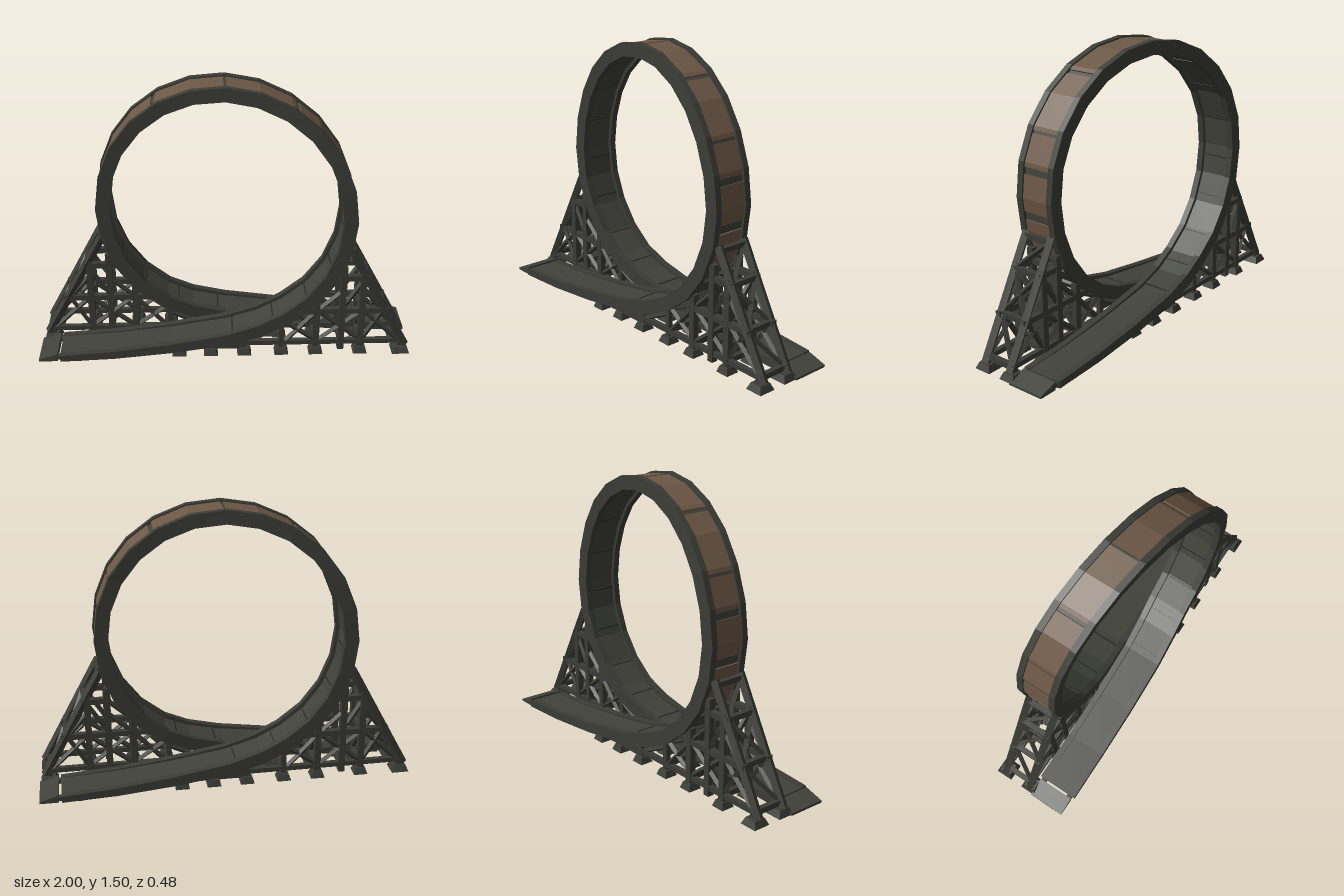
import * as THREE from 'three';

const mat = (name, color) => {
  const m = new THREE.MeshStandardMaterial({ color });
  m.name = name;
  return m;
};

// Centre line of half the track: ground lead-in, then loop from low side to crown
const path = [[-0.885, 0.035, 0.127], [-0.6, 0.052, 0.127], [-0.3, 0.085, 0.125], [0, 0.128, 0.117], [0.18, 0.173, 0.104]];
for (let a = 30; a <= 195; a += 15) {
  const t = THREE.MathUtils.degToRad(a);
  path.push([0.636 * Math.sin(t), 0.81 - 0.66 * Math.cos(t), a < 90 ? 0.094 : 0.094 * Math.min(1, 1.06 * Math.sin(t))]);
}
const TOP = 15;                              // station index of the crown
const atAngle = a => 5 + (a - 30) / 15;      // loop angle in degrees to station

// Point on the track: u across, v towards the inside of the loop
function stationPoint(i, u, v) {
  const p = path[i], a = path[Math.max(i - 1, 0)], b = path[i + 1];
  const dx = b[0] - a[0], dy = b[1] - a[1], l = Math.hypot(dx, dy);
  return new THREE.Vector3(p[0] - dy / l * v, p[1] + dx / l * v, p[2] + u);
}
function trackPoint(s, u, v) {
  const i = Math.min(Math.floor(s), TOP - 1);
  return stationPoint(i, u, v).lerp(stationPoint(i + 1, u, v), s - i);
}

// Sweep a rectangular section along the track; v can grow along the lead-in
function ribbon(s0, s1, u0, u1, v0, v1, grow = false) {
  const stations = [s0];
  for (let i = Math.floor(s0) + 1; i < s1; i++) stations.push(i);
  stations.push(s1);
  const rings = stations.map(s => {
    const k = grow ? Math.min(1, 0.5 + s * 0.125) : 1;
    return [[u0, v0], [u1, v0], [u1, v1], [u0, v1]].map(([u, v]) => trackPoint(s, u, v * k));
  });
  const pos = [];
  const quad = (...q) => [0, 1, 2, 0, 2, 3].forEach(i => pos.push(q[i].x, q[i].y, q[i].z));
  for (let r = 0; r + 1 < rings.length; r++) {
    const A = rings[r], B = rings[r + 1];
    for (let c = 0; c < 4; c++) {
      const d = (c + 1) % 4;
      quad(A[c], B[c], B[d], A[d]);
    }
  }
  const S = rings[0], E = rings[rings.length - 1];
  quad(S[0], S[1], S[2], S[3]);
  quad(E[3], E[2], E[1], E[0]);
  const g = new THREE.BufferGeometry();
  g.setAttribute('position', new THREE.Float32BufferAttribute(pos, 3));
  g.computeVertexNormals();
  return g;
}

export function createModel() {
  const deckMat = mat('deck grey', 0x40423a);
  const frameMat = mat('frame dark grey', 0x3b3c36);
  const seamMat = mat('seam dark', 0x2a2b26);
  const panelMat = mat('panel brown', 0x6c5745);

  const half = new THREE.Group();
  half.name = 'trackHalf';
  const add = (name, geo, material, parent = half) => {
    const m = new THREE.Mesh(geo, material);
    m.name = name;
    parent.add(m);
    return m;
  };

  // Running deck and side rims
  add('deck', ribbon(0, TOP, -0.1, 0.1, -0.02, 0.016), deckMat);
  for (const side of [-1, 1]) {
    const u = side * 0.096;
    add('rim', ribbon(0, TOP, u - 0.017, u + 0.017, -0.036, 0.036, true), frameMat);
  }

  // Seams across the inner deck
  for (let s = 3.2; s < TOP; s += 1.35)
    add('deckSeam', ribbon(s, s + 0.045, -0.08, 0.08, 0.015, 0.019), seamMat);

  // Brown panels on the outside of the loop
  for (const [a, b] of [[62, 80], [84, 100], [103, 117], [118.2, 146], [148, 179.4]])
    add('outerPanel', ribbon(atAngle(a), atAngle(b), -0.078, 0.078, -0.028, -0.019), panelMat);

  // Cross ties under the lead-in and lower loop
  for (let s = 0.3; s < 7; s += 0.9)
    add('crossTie', ribbon(s, s + 0.1, -0.1, 0.1, s < 3 ? -0.03 : -0.036, -0.019), frameMat);

  // Sloped boarding ramp at the end
  const ramp = new THREE.Shape([[-1, 0.012], [-0.9, 0.012], [-0.9, 0.055], [-1, 0.024]].map(p => new THREE.Vector2(...p)));
  const rampGeo = new THREE.ExtrudeGeometry(ramp, { depth: 0.205, bevelEnabled: false });
  rampGeo.translate(0, 0, 0.022);
  add('entryRamp', rampGeo, deckMat);
  const joint = new THREE.BoxGeometry(0.05, 0.02, 0.03);
  for (const z of [0.04, 0.21]) add('rampJoint', joint, frameMat).position.set(-0.89, 0.03, z);

  // Timber trestle beside the loop
  const trestle = new THREE.Group();
  trestle.name = 'trestle';
  half.add(trestle);
  const zAxis = new THREE.Vector3(0, 0, 1);
  const beam = (name, a, b, w = 0.026) => {
    const p = new THREE.Vector3(...a), q = new THREE.Vector3(...b);
    const m = add(name, new THREE.BoxGeometry(w, w, p.distanceTo(q)), frameMat, trestle);
    m.position.copy(p).add(q).multiplyScalar(0.5);
    m.quaternion.setFromUnitVectors(zAxis, q.sub(p).normalize());
  };
  const posts = [[0.945, 0.09], [0.725, 0.5], [0.62, 0.54], [0.485, 0.34], [0.3, 0.2], [0.1, 0.12], [-0.08, 0.1], [-0.25, 0.07]];
  const footGeo = new THREE.CylinderGeometry(0.036, 0.053, 0.035, 4).toNonIndexed();
  footGeo.rotateY(Math.PI / 4);
  footGeo.computeVertexNormals();
  const zs = [0.005, 0.168];

  for (const z of zs) {
    // Posts, footings and rails
    for (const [x, top] of posts) {
      beam('post', [x, 0.03, z], [x, top, z], x > 0.4 ? 0.034 : 0.026);
      if (x === 0.62) continue;
      const foot = add('footing', footGeo, frameMat, trestle);
      foot.position.set(x, 0.03, z);
      if (x > 0.9) foot.scale.set(1.25, 1, 1.25);
    }
    beam('slopedLeg', [0.65, 0.64, z], [0.968, 0.05, z], 0.034);
    beam('bottomRail', [-0.08, 0.075, z], [0.95, 0.075, z]);
    beam('lowStringer', [-0.3, 0.052, z], [0.1, 0.052, z], 0.022);
    beam('middleRail', [0.4, 0.27, z], [0.87, 0.27, z], 0.03);
    beam('upperRail', [0.6, 0.47, z], [0.755, 0.47, z], 0.03);
    // Diagonal braces in the side frames
    const braces = [
      [0.49, 0.08, 0.73, 0.27], [0.49, 0.27, 0.73, 0.08], [0.73, 0.08, 0.84, 0.27], [0.73, 0.27, 0.93, 0.08],
      [0.62, 0.28, 0.73, 0.46], [0.49, 0.27, 0.63, 0.4], [0.32, 0.08, 0.49, 0.27], [0.32, 0.2, 0.49, 0.08],
      [0.12, 0.08, 0.3, 0.17], [0.73, 0.4, 0.82, 0.29]];
    for (const [x0, y0, x1, y1] of braces) beam('sideBrace', [x0, y0, z], [x1, y1, z], 0.02);
  }

  // Members joining the two side frames
  const [z0, z1] = zs;
  const ties = [[0.945, 0.075], [0.845, 0.27], [0.74, 0.47], [0.66, 0.62], [0.725, 0.27], [0.62, 0.47], [0.485, 0.27],
    [-0.25, 0.05], ...posts.slice(1, -1).map(p => [p[0], 0.075])];
  for (const [x, y] of ties) beam('crossBeam', [x, y, z0], [x, y, z1], 0.028);
  const crosses = [
    [0.945, 0.075, 0.845, 0.27], [0.845, 0.27, 0.74, 0.47], [0.725, 0.075, 0.725, 0.27],
    [0.725, 0.27, 0.725, 0.47], [0.485, 0.075, 0.485, 0.27]];
  crosses.forEach(([xa, ya, xb, yb], i) => {
    beam('crossBrace', [xa, ya, z0], [xb, yb, z1], 0.02);
    if (i % 2 === 1) beam('crossBrace', [xa, ya, z1], [xb, yb, z0], 0.02);
  });
  beam('crossBrace', [0.74, 0.47, z1], [0.66, 0.62, z0], 0.02);

  // The other half is the same, turned about the vertical axis
  const other = half.clone();
  other.name = 'trackHalfTurned';
  other.rotation.y = Math.PI;

  const model = new THREE.Group();
  model.name = 'loopTrack';
  model.add(half, other);
  return model;
}
